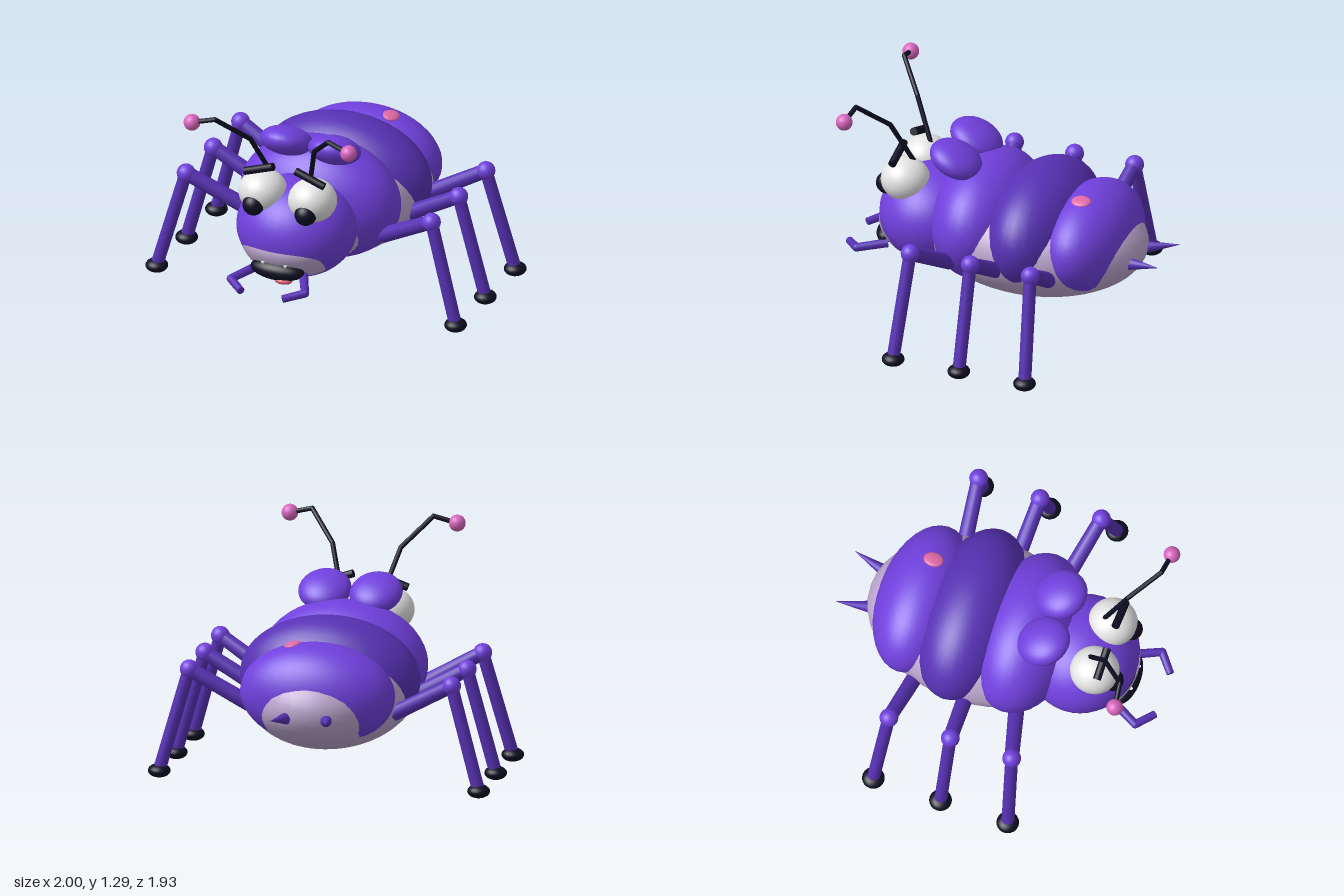
import * as THREE from 'three';

const mat = (name, color, side = THREE.FrontSide) => {
  const m = new THREE.MeshStandardMaterial({ color, side });
  m.name = name;
  return m;
};

export function createModel() {
  const root = new THREE.Group();
  root.name = 'beetle';

  const purple = mat('bright purple', 0x7040dd);
  const dark = mat('deep purple', 0x5731b4);
  const lilac = mat('lilac', 0xbca6cf, THREE.DoubleSide);
  const black = mat('ink black', 0x0d0d22);
  const white = mat('eye white', 0xe4e4e4);
  const pink = mat('antenna pink', 0xd765bd);
  const rose = mat('spot rose', 0xdf6aa6);
  const coral = mat('tongue coral', 0xdf5a70);

  const V = (p, s = 1) => new THREE.Vector3(p[0] * s, p[1], p[2]);
  const add = (name, geo, material, parent = root) => {
    const m = new THREE.Mesh(geo, material);
    m.name = name;
    parent.add(m);
    return m;
  };
  // Stretched sphere
  const blob = (name, pos, radii, material, parent = root, detail = 28) => {
    const m = add(name, new THREE.SphereGeometry(1, detail, Math.round(detail * 0.7)), material, parent);
    m.position.set(...pos);
    m.scale.set(...radii);
    return m;
  };
  // Tapered rod between two points
  const rod = (name, a, b, ra, rb, material, parent = root, sides = 16) => {
    const d = b.clone().sub(a);
    const m = add(name, new THREE.CylinderGeometry(rb, ra, d.length(), sides), material, parent);
    m.position.copy(a).add(b).multiplyScalar(0.5);
    m.quaternion.setFromUnitVectors(new THREE.Vector3(0, 1, 0), d.normalize());
    return m;
  };

  // Body
  blob('belly', [0, 0.505, -0.15], [0.485, 0.32, 0.665], lilac, root, 40);
  blob('frontSegment', [0, 0.58, 0.14], [0.485, 0.36, 0.295], purple, root, 36);
  blob('middleSegment', [0, 0.58, -0.2], [0.525, 0.357, 0.29], dark, root, 36);
  blob('rearSegment', [0, 0.56, -0.5], [0.45, 0.297, 0.26], purple, root, 36);
  const spot = blob('backSpot', [0.15, 0.837, -0.49], [0.048, 0.016, 0.058], rose, root, 20);
  spot.rotation.z = -0.25;

  // Head
  const headC = [0, 0.535, 0.465], headR = [0.35, 0.29, 0.32];
  blob('head', headC, headR, purple, root, 40);

  // Muzzle: a squarish patch hugging the front of the head
  const muzzle = new THREE.RingGeometry(0.001, 1, 48, 10);
  const p = muzzle.attributes.position;
  const soft = (c) => Math.sign(c) * Math.pow(Math.abs(c), 0.7);
  for (let i = 0; i < p.count; i++) {
    const r = Math.hypot(p.getX(i), p.getY(i));
    const x = 0.25 * r * soft(p.getX(i) / r);
    const y = 0.405 + 0.095 * r * soft(p.getY(i) / r);
    const k = 1 - (x / headR[0]) ** 2 - ((y - headC[1]) / headR[1]) ** 2;
    const lift = 0.004 + 0.012 * (1 - r ** 4);
    p.setXYZ(i, x, y, headC[2] + headR[2] * Math.sqrt(Math.max(k, 0)) + lift);
  }
  muzzle.computeVertexNormals();
  add('muzzle', muzzle, lilac);

  // Mouth
  blob('mouth', [0, 0.372, 0.73], [0.165, 0.06, 0.078], black);
  blob('tongue', [0.05, 0.325, 0.757], [0.055, 0.022, 0.04], coral, root, 20);

  for (const s of [1, -1]) {
    const side = s > 0 ? 'left' : 'right';
    const part = (n) => side + n;

    const tooth = add(part('Tooth'), new THREE.ConeGeometry(0.011, 0.022, 8), white);
    tooth.position.set(0.07 * s, 0.415, 0.778);
    tooth.rotation.x = Math.PI;

    // Eyes and brows
    blob(part('Eye'), [0.155 * s, 0.777, 0.59], [0.14, 0.126, 0.142], white, root, 32);
    blob(part('Pupil'), [0.163 * s, 0.735, 0.7], [0.064, 0.064, 0.064], black, root, 24);
    rod(part('Brow'), V([0.07, 0.962, 0.635], s), V([0.248, 0.9, 0.635], s), 0.023, 0.023, black);

    // Tilted pads behind the head
    const pad = blob(part('Pad'), [0.15 * s, 0.958, 0.28], [0.152, 0.085, 0.16], purple);
    pad.rotation.x = 0.42 * -1;

    // Bent antenna with a ball tip
    const antenna = new THREE.Group();
    antenna.name = part('Antenna');
    root.add(antenna);
    const path = [[0.12, 0.87, 0.545], [0.2, 1.125, 0.665], [0.355, 1.28, 0.812], [0.49, 1.243, 0.828]];
    for (let i = 0; i < 3; i++) {
      rod('antennaRod', V(path[i], s), V(path[i + 1], s), 0.014, 0.014, black, antenna, 10);
      if (i) blob('antennaBend', V(path[i], s).toArray(), [0.014, 0.014, 0.014], black, antenna, 10);
    }
    blob('antennaBall', V(path[3], s).toArray(), [0.048, 0.048, 0.048], pink, antenna, 20);

    // Hooked mandible
    const elbow = V([0.232, 0.322, 0.86], s);
    rod(part('MandibleBase'), V([0.15, 0.345, 0.7], s), elbow, 0.026, 0.024, dark);
    blob(part('MandibleElbow'), elbow.toArray(), [0.024, 0.024, 0.024], dark, root, 14);
    rod(part('MandibleTip'), elbow, V([0.13, 0.303, 0.945], s), 0.024, 0.022, dark);

    // Tail spike
    rod(part('TailSpike'), V([0.108, 0.475, -0.74], s), V([0.162, 0.512, -0.97], s), 0.042, 0.0005, dark);

    // Legs: hip, knee and foot depths
    const legs = { front: [0.21, 0.305, 0.34], middle: [-0.09, -0.065, -0.065], rear: [-0.4, -0.435, -0.47] };
    for (const [where, [zh, zk, zf]] of Object.entries(legs)) {
      const leg = new THREE.Group();
      leg.name = `${where}${side === 'left' ? 'Left' : 'Right'}Leg`;
      root.add(leg);
      const knee = V([0.768, 0.638, zk], s), foot = V([0.932, 0.05, zf], s);
      rod('thigh', V([0.42, 0.445, zh], s), knee, 0.046, 0.042, dark, leg);
      blob('knee', knee.toArray(), [0.054, 0.054, 0.054], purple, leg, 20);
      rod('shin', knee, foot, 0.037, 0.037, dark, leg);
      blob('foot', [0.935 * s, 0.039, zf], [0.065, 0.039, 0.065], black, leg, 20);
    }
  }
  return root;
}
